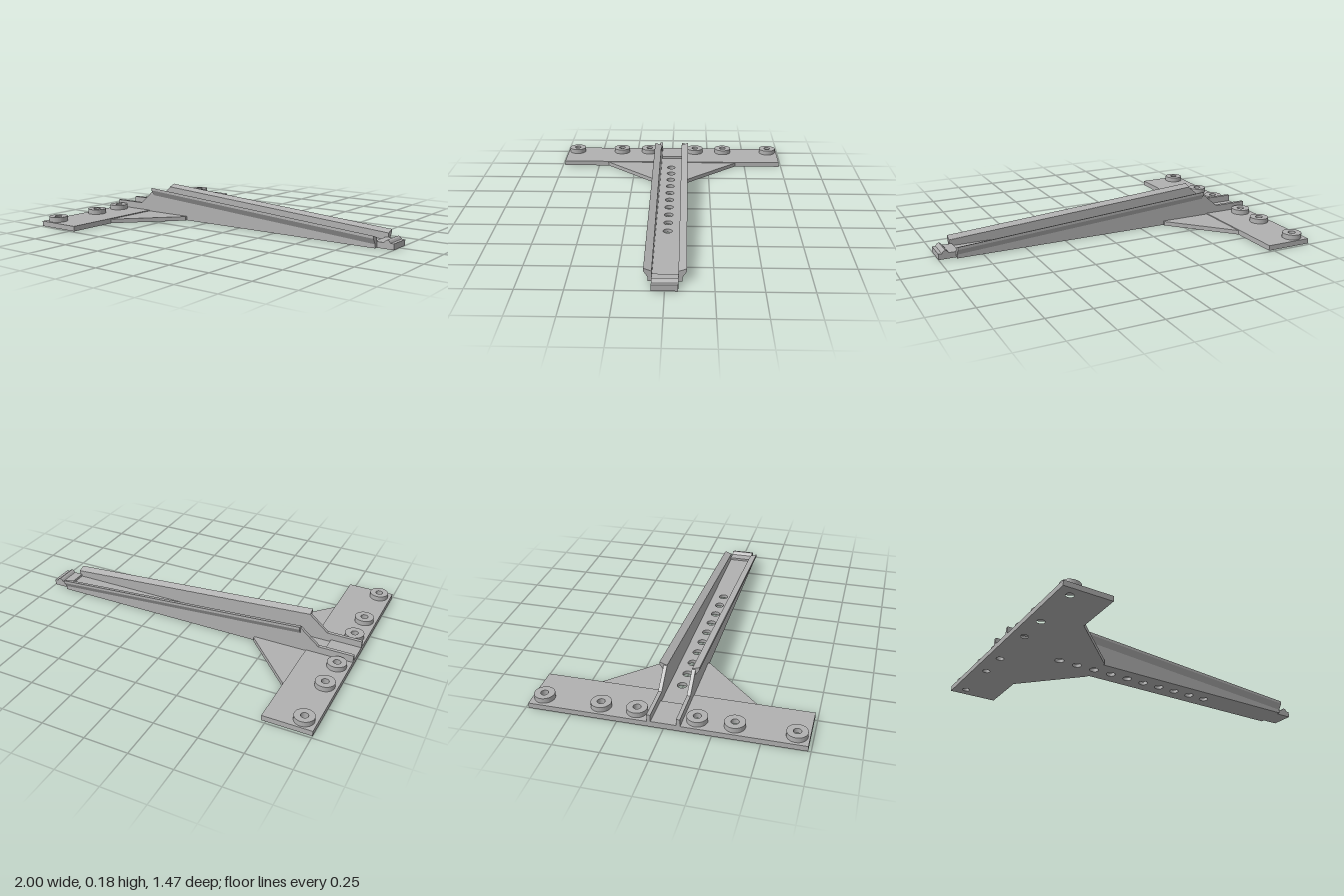
import * as THREE from 'three';

export function createModel() {
  const model = new THREE.Group();
  model.name = 'railBracket';
  const grey = new THREE.MeshStandardMaterial({ color: 0xb0b0b0 });
  grey.name = 'plain grey';

  const add = (name, geometry) => {
    const mesh = new THREE.Mesh(geometry, grey);
    mesh.name = name;
    model.add(mesh);
    return mesh;
  };
  const outline = (points) => new THREE.Shape(points.map(([a, b]) => new THREE.Vector2(a, b)));
  const extrude = (shape, depth) =>
    new THREE.ExtrudeGeometry(shape, { depth, bevelEnabled: false, curveSegments: 20 });
  const drill = (shape, x, y, r) => {
    const hole = new THREE.Path();
    hole.absarc(x, y, r, 0, Math.PI * 2, true);
    shape.holes.push(hole);
  };
  // Horizontal plate from an outline in (x, -z), resting at height y
  const plate = (name, shape, y, height) =>
    add(name, extrude(shape, height).rotateX(-Math.PI / 2).translate(0, y, 0));
  // Vertical slab from an outline in (x, y), spanning z0 to z1
  const slab = (name, points, z0, z1) =>
    add(name, extrude(outline(points), z1 - z0).translate(0, 0, z0));

  const inner = 0.068, wallOuter = 0.088, lipOuter = 0.11;
  const railStart = -0.685, railEnd = 0.9, railTop = 0.182, railDrop = 0.11;
  const bossX = -0.93, bossZ = [0.16, 0.355, 0.67], boreRadius = 0.021;

  for (const s of [1, -1]) {
    const side = s > 0 ? 'front' : 'back';

    // Crossbar half with bored raised bosses
    const bar = outline([[-1, -s * inner], [-0.725, -s * inner], [-0.725, -s * 0.735], [-1, -s * 0.735]]);
    bossZ.forEach((z) => drill(bar, bossX, -s * z, boreRadius));
    plate(side + 'Crossbar', bar, 0, 0.03);
    bossZ.forEach((z, i) => {
      const ring = new THREE.Shape().absarc(bossX, -s * z, 0.055, 0, Math.PI * 2, false);
      drill(ring, bossX, -s * z, boreRadius);
      plate(side + 'Boss' + (i + 1), ring, 0.03, 0.029);
    });

    // Triangular gusset
    plate(side + 'Gusset', outline([
      [-0.725, -s * 0.075], [-0.41, -s * 0.075], [-0.41, -s * 0.1], [-0.725, -s * 0.435],
    ]), 0, 0.025);

    // Tapering side wall
    slab(side + 'Wall', [
      [-1, 0], [railEnd, 0], [railEnd, railTop - railDrop - 0.017],
      [railStart, railTop - 0.017], [-0.795, 0.072], [-1, 0.072],
    ], s > 0 ? inner : -wallOuter, s > 0 ? wallOuter : -inner);

    // Sloping lip along the wall: extruded along x, then sheared downhill
    const section = outline([
      [lipOuter, 0], [lipOuter, -0.016], [wallOuter, -0.05],
      [inner + 0.005, -0.045], [inner, -0.015],
    ].map(([z, y]) => [-s * z, y]));
    const lip = extrude(section, railEnd - railStart).rotateY(Math.PI / 2).translate(railStart, 0, 0);
    const pos = lip.attributes.position;
    for (let i = 0; i < pos.count; i++) {
      const t = (pos.getX(i) - railStart) / (railEnd - railStart);
      pos.setY(i, pos.getY(i) + railTop - railDrop * t);
    }
    lip.computeVertexNormals();
    add(side + 'Lip', lip);
  }

  // Perforated channel floor
  const floor = outline([[-0.82, -inner], [0.885, -inner], [0.885, inner], [-0.82, inner]]);
  for (let i = 0; i < 10; i++) drill(floor, -0.643 + i * 0.111, 0, 0.026);
  plate('channelFloor', floor, 0, 0.02);

  // Raised floor at the crossbar end
  slab('heelBlock', [[-1, 0], [-0.82, 0], [-0.82, 0.033], [-1, 0.033]], -inner, inner);

  // Tip with a small latch ridge
  slab('tip', [
    [0.885, 0], [1, 0], [1, 0.034], [0.98, 0.034], [0.972, 0.046],
    [0.96, 0.051], [0.95, 0.046], [0.94, 0.034], [0.885, 0.034],
  ], -inner, inner);

  return model;
}
